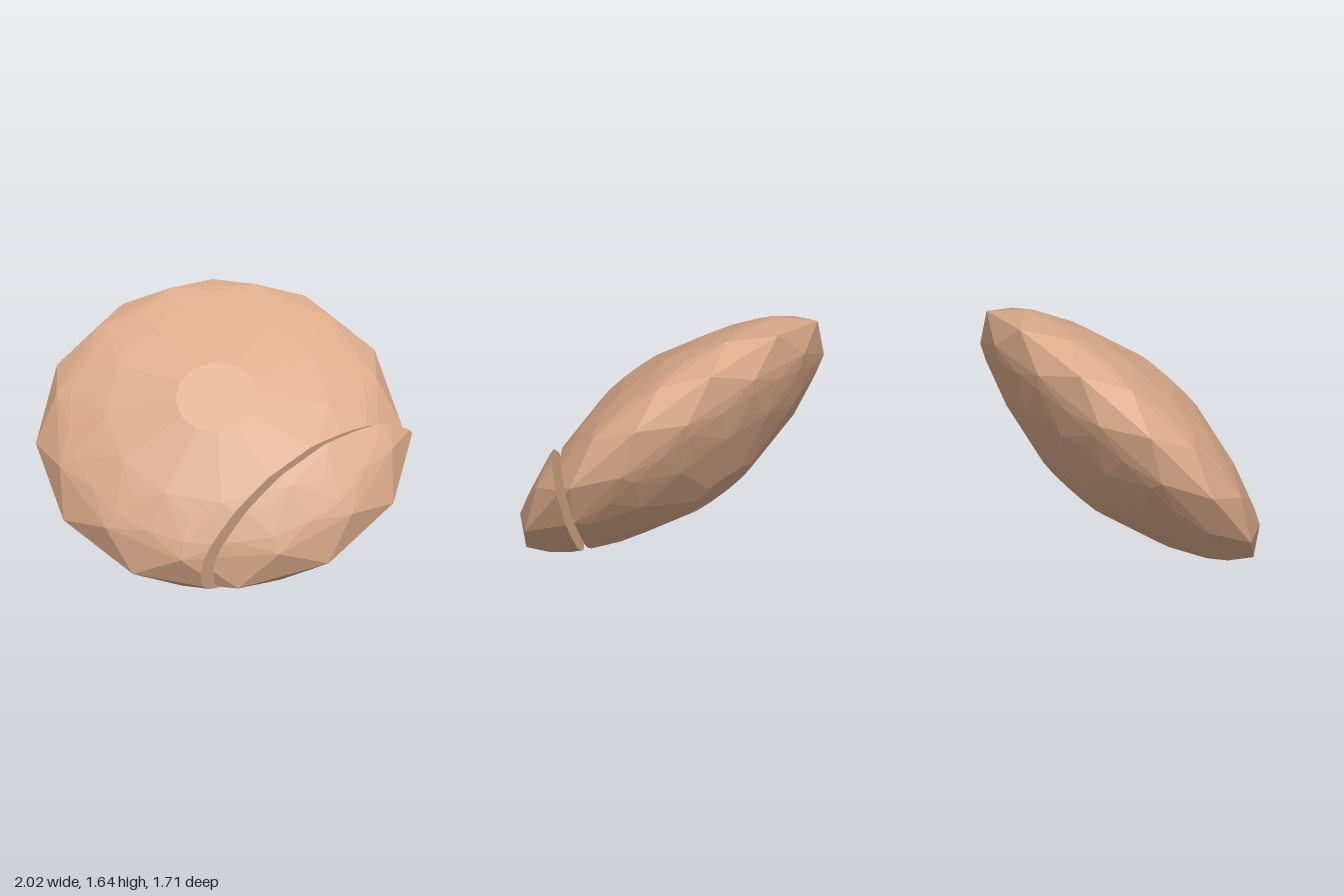
import * as THREE from 'three';
import { ConvexGeometry } from 'three/addons/geometries/ConvexGeometry.js';

// Corners of the faceted disc: [radius, height, half-step turn] per ring of twelve
function discPoints() {
  const axis = new THREE.Vector3(0.43, 0.655, 0.62).normalize();
  const u = new THREE.Vector3(-1, 0.37, 0.3).projectOnPlane(axis).normalize();
  const v = new THREE.Vector3().crossVectors(axis, u);
  const rings = [
    [0.245, 0.42, 0], [0.66, 0.3, 0], [0.745, 0.258, 0.5],
    [0.88, 0.193, 0], [0.89, 0.195, 0.5], [0.98, 0.142, 0.5], [1.083, 0, 0],
  ];
  const points = [];
  for (const [r, h, turn] of rings) {
    for (const side of h ? [1, -1] : [1]) {
      for (let i = 0; i < 12; i++) {
        const a = (i + turn) * Math.PI / 6;
        points.push(new THREE.Vector3()
          .addScaledVector(u, r * Math.cos(a))
          .addScaledVector(v, r * Math.sin(a))
          .addScaledVector(axis, h * side));
      }
    }
  }
  return points;
}

// The part of a convex solid on the positive side of a plane
function cutSolid(points, plane) {
  const pos = new ConvexGeometry(points).attributes.position;
  const kept = points.filter(p => plane.distanceToPoint(p) >= 0);
  for (let t = 0; t < pos.count; t += 3) {
    for (let k = 0; k < 3; k++) {
      const a = new THREE.Vector3().fromBufferAttribute(pos, t + k);
      const b = new THREE.Vector3().fromBufferAttribute(pos, t + (k + 1) % 3);
      const da = plane.distanceToPoint(a), db = plane.distanceToPoint(b);
      // each edge is shared by two faces, so take it in one direction only
      if (da > 0 && db < 0) kept.push(a.lerp(b, da / (da - db)));
    }
  }
  return new ConvexGeometry(kept);
}

export function createModel() {
  const group = new THREE.Group();
  const stone = new THREE.MeshStandardMaterial({ color: 0xdcab8b, flatShading: true });
  const points = discPoints();
  const cut = new THREE.Plane(new THREE.Vector3(0.936, -0.229, 0.264).normalize(), -0.659);

  const add = (name, plane, x, y, z) => {
    const mesh = new THREE.Mesh(cutSolid(points, plane), stone);
    mesh.name = name;
    mesh.position.set(x, y, z);
    group.add(mesh);
  };

  // Large body, and the smaller piece slid away from the slanted cut
  add('mainBody', cut.clone().negate(), -0.035, 0.828, 0);
  add('slicedPiece', cut, 0.03, 0.842, -0.038);
  return group;
}
